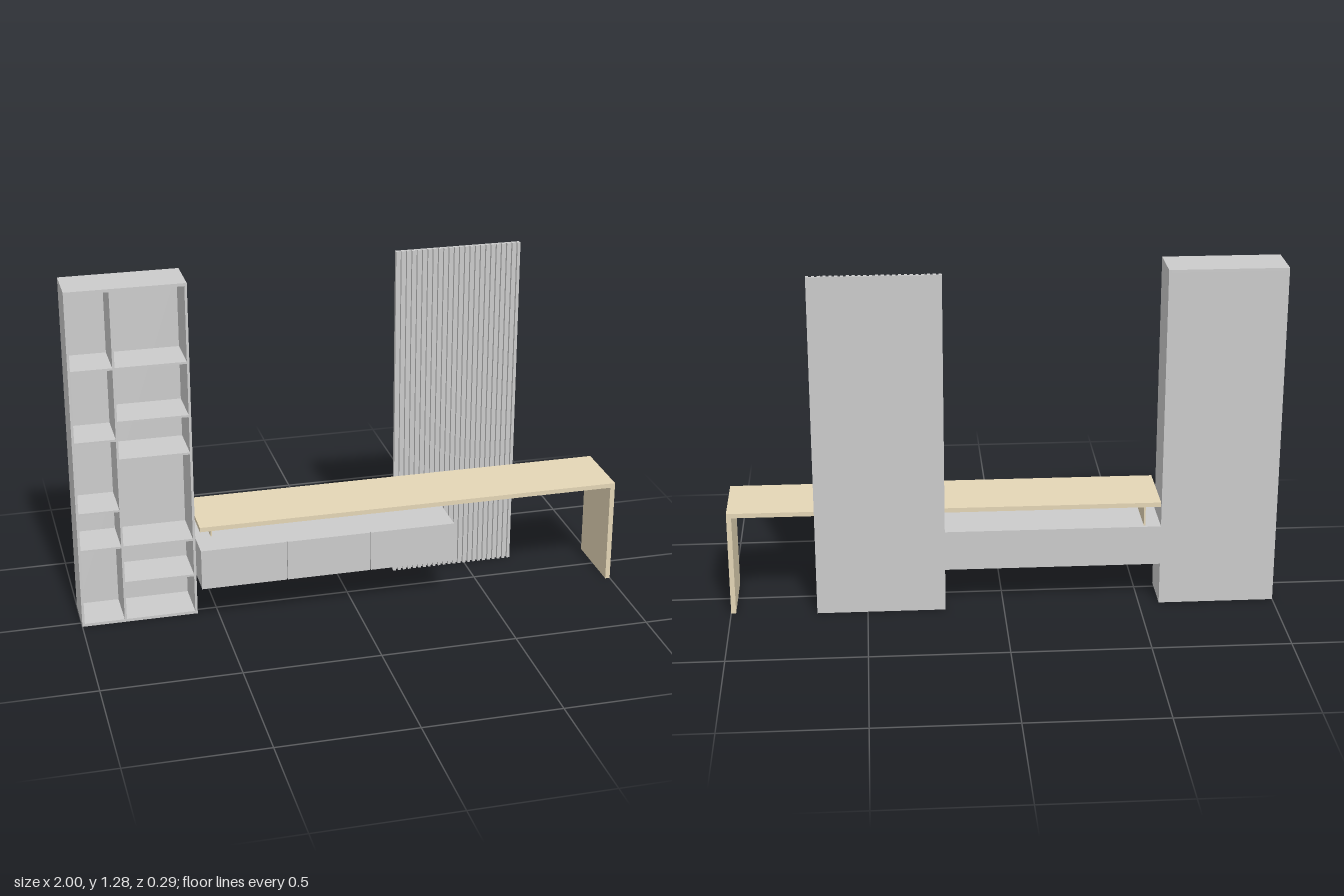
import * as THREE from 'three';

const grey = new THREE.MeshStandardMaterial({ color: 0xcccccc });
const wood = new THREE.MeshStandardMaterial({ color: 0xe4d6b6 });

// Box given by its min/max on each axis
function slab(parent, name, [x0, x1], [y0, y1], [z0, z1], material = grey) {
  const mesh = new THREE.Mesh(new THREE.BoxGeometry(x1 - x0, y1 - y0, z1 - z0), material);
  mesh.position.set((x0 + x1) / 2, (y0 + y1) / 2, (z0 + z1) / 2);
  mesh.name = name;
  parent.add(mesh);
  return mesh;
}

function section(parent, name) {
  const group = new THREE.Group();
  group.name = name;
  parent.add(group);
  return group;
}

// Tall open bookcase with two unequal columns
function addBookcase(model) {
  const g = section(model, 'bookcase');
  const x0 = -1, x1 = -0.575, H = 1.28, t = 0.009, z = [-0.14, 0.03];
  const inner = [-0.132, 0.03];
  const divider = [-0.845, -0.837];
  slab(g, 'leftOuterSide', [x1 - t, x1], [0, H], z);
  slab(g, 'rightOuterSide', [x0, x0 + t], [0, H], z);
  slab(g, 'top', [x0 + t, x1 - t], [H - 0.011, H], z);
  slab(g, 'bottom', [x0 + t, x1 - t], [0, 0.011], z);
  slab(g, 'backPanel', [x0 + t, x1 - t], [0.011, H - 0.011], [z[0], inner[0]]);
  slab(g, 'divider', divider, [0.011, H - 0.011], inner);
  const columns = [
    { name: 'narrowShelf', x: [x0 + t, divider[0]], ys: [0.302, 0.447, 0.72, 0.988] },
    { name: 'wideShelf', x: [divider[1], x1 - t], ys: [0.158, 0.302, 0.643, 0.787, 0.988] },
  ];
  for (const { name, x, ys } of columns)
    for (const y of ys) slab(g, name, x, [y - 0.004, y + 0.004], inner);
}

// Low floating cabinet with three fronts
function addCabinet(model) {
  const g = section(model, 'floatingCabinet');
  slab(g, 'cabinetBody', [-0.575, 0.37], [0.158, 0.308], [-0.14, 0.135]);
  const edges = [-0.575, -0.26, 0.052, 0.37], gap = 0.0015;
  for (let i = 0; i < 3; i++)
    slab(g, 'drawerFront', [edges[i] + (i > 0 ? gap : 0), edges[i + 1] - (i < 2 ? gap : 0)],
      [0.157, 0.309], [0.135, 0.145]);
}

// Wooden desk: top, full-depth end leg, small support on the cabinet
function addDesk(model) {
  const g = section(model, 'desk');
  const z = [-0.127, 0.135];
  slab(g, 'deskTop', [-0.575, 1], [0.38, 0.397], z, wood);
  slab(g, 'deskLeg', [0.982, 1], [0, 0.38], z, wood);
  slab(g, 'deskSupport', [-0.519, -0.513], [0.308, 0.38], [-0.127, 0.03], wood);
}

// Vertical slatted wall panel
function addSlatPanel(model) {
  const g = section(model, 'slatPanel');
  const x0 = 0.215, x1 = 0.685, count = 24, w = 0.011;
  slab(g, 'panelBack', [x0, x1], [0, 1.28], [-0.145, -0.139]);
  for (let i = 0; i < count; i++) {
    const x = x0 + (i * (x1 - x0 - w)) / (count - 1);
    slab(g, 'slat', [x, x + w], [0, 1.28], [-0.139, -0.127]);
  }
}

export function createModel() {
  const model = new THREE.Group();
  model.name = 'wallUnitWithDesk';
  addBookcase(model);
  addCabinet(model);
  addDesk(model);
  addSlatPanel(model);
  return model;
}
